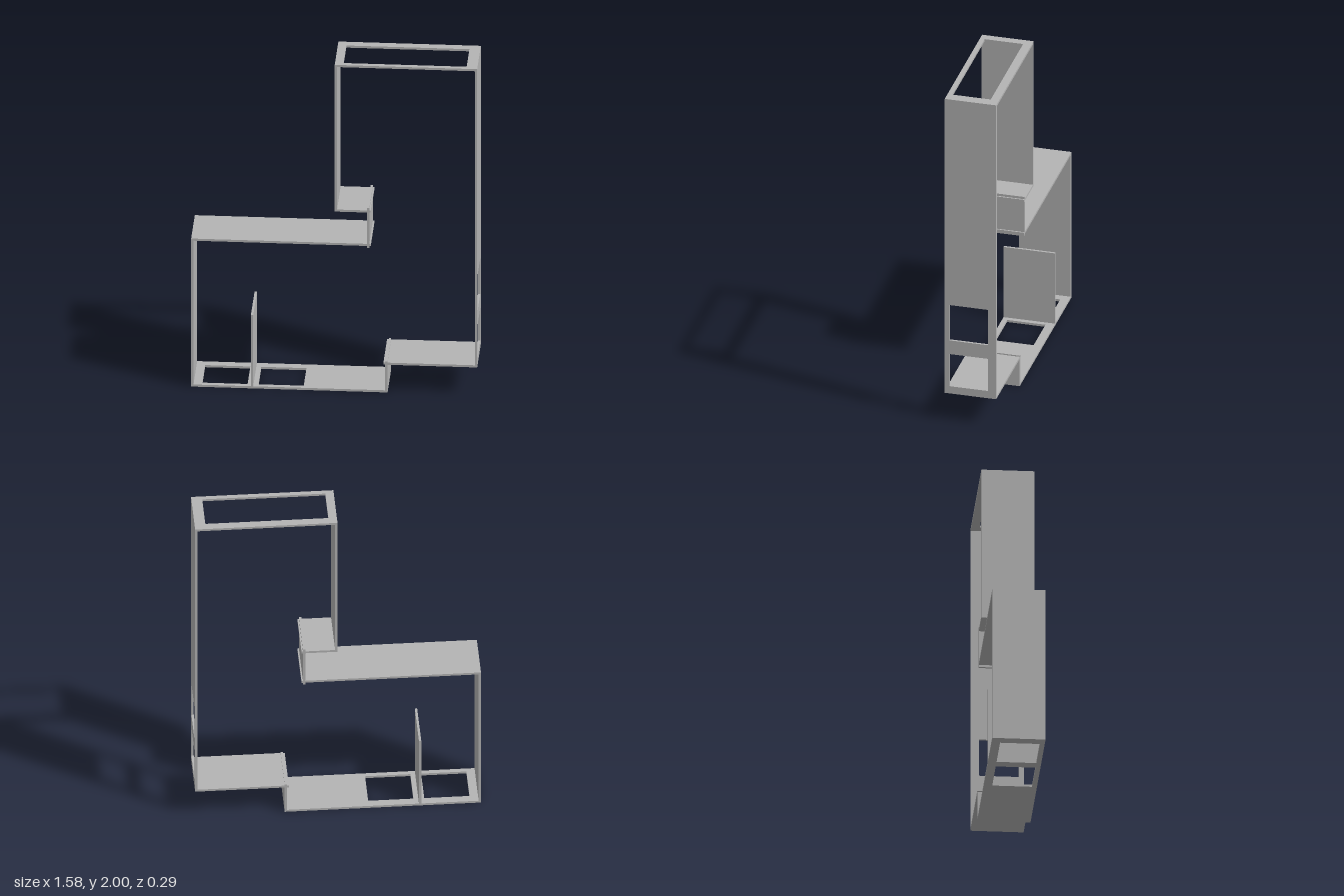
import * as THREE from 'three';

const T = 0.013;   // panel thickness
const D = 0.294;   // panel depth along z
const HOLE_BACK = -0.10, HOLE_FRONT = 0.12;

export function createModel() {
  const group = new THREE.Group();
  const grey = new THREE.MeshStandardMaterial({ color: 0xb4b4b4 });
  grey.name = 'panel grey';

  // Flat panel running from a to b, with rectangular cut-outs given as [start, end]
  function panelGeometry(a, b, holes) {
    const shape = new THREE.Shape();
    shape.moveTo(a, -D / 2).lineTo(b, -D / 2).lineTo(b, D / 2).lineTo(a, D / 2).closePath();
    for (const [s, e] of holes) {
      const path = new THREE.Path();
      // shape y becomes -z once the panel is laid down
      path.moveTo(s, -HOLE_FRONT).lineTo(s, -HOLE_BACK).lineTo(e, -HOLE_BACK).lineTo(e, -HOLE_FRONT).closePath();
      shape.holes.push(path);
    }
    const geo = new THREE.ExtrudeGeometry(shape, { depth: T, bevelEnabled: false });
    return geo.rotateX(-Math.PI / 2);
  }

  function add(name, geo) {
    const mesh = new THREE.Mesh(geo, grey);
    mesh.name = name;
    group.add(mesh);
  }

  // Horizontal panel: underside at y, spanning x0..x1
  const horizontal = (name, y, x0, x1, holes = []) =>
    add(name, panelGeometry(x0, x1, holes).translate(0, y, 0));

  // Vertical panel: left face at x, spanning y0..y1
  const vertical = (name, x, y0, y1, holes = []) =>
    add(name, panelGeometry(y0, y1, holes).rotateZ(Math.PI / 2).translate(x + T, 0, 0));

  // Lower chamber
  horizontal('floor', 0, -0.79, 0.295, [[-0.73, -0.48], [-0.42, -0.17]]);
  vertical('lowerLeftWall', -0.79, T, 0.895, []);
  horizontal('lowerRoof', 0.895, -0.79, 0.202);
  vertical('divider', -0.46, T, 0.45);

  // Step in the floor
  vertical('floorRiser', 0.282, T, 0.19);
  horizontal('raisedFloor', 0.17, 0.272, 0.79);

  // Neck between the chambers
  vertical('neckWall', 0.181, 0.882, 1.127);
  horizontal('neckLedge', 1.1, 0.003, 0.202);

  // Tall chamber
  vertical('upperLeftWall', 0.003, 1.1 + T, 2 - T);
  vertical('tallRightWall', 0.79 - T, 0.17 + T, 2 - T, [[0.215, 0.415], [0.5, 0.72]]);
  horizontal('topFrame', 2 - T, 0.003, 0.79, [[0.05, 0.73]]);

  return group;
}
